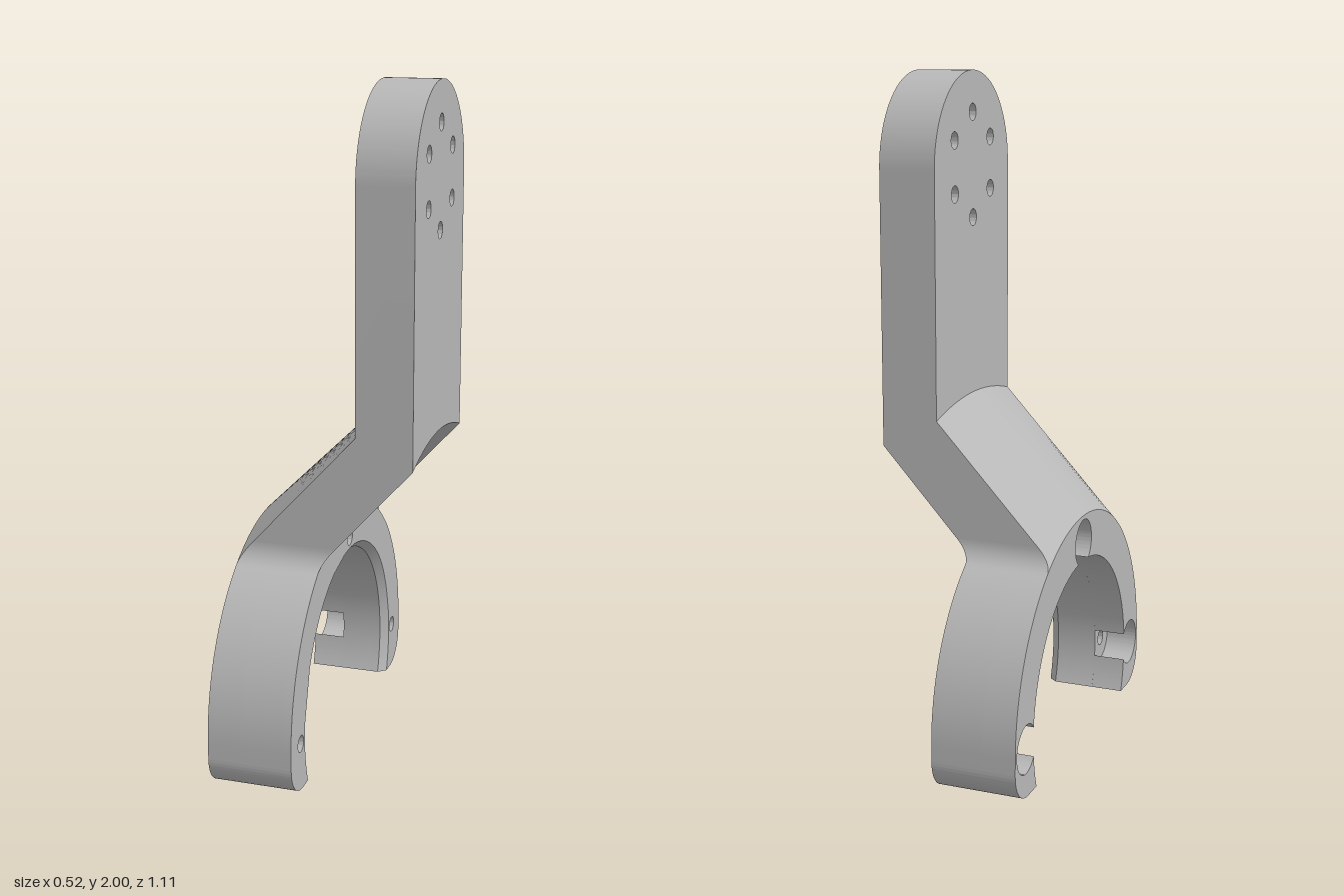
import * as THREE from 'three';
import { toCreasedNormals } from 'three/addons/utils/BufferGeometryUtils.js';

const CY = 0.145, R_OUT = 0.555, R_IN = 0.415, R_LIP = 0.435; // clamp ring
const R_BOLT = 0.47, R_HOLE = 0.025, R_BORE = 0.072;          // ring bolts
const X0 = -0.265, X1 = -0.012, P0 = 0.09, P1 = 0.26;         // ring and plate faces
const W = 0.275, FIL = 0.08, SEAM = 1.1;
const BOLTS = [Math.PI, Math.PI / 2, 0];

const ringY = z => CY + Math.sqrt(R_OUT * R_OUT - z * z);
const upperY = z => 1.05 - 0.037 * (z / W) ** 2;
const lowerY = z => 0.975 - 0.047 * (z / W) ** 2;

function hole(shape, x, y) {
  const p = new THREE.Path();
  p.absarc(x, y, R_HOLE, 0, Math.PI * 2, true);
  shape.holes.push(p);
}

// Extrude a side outline (z, y) along x
function slab(shape, from, to) {
  const g = new THREE.ExtrudeGeometry(shape, { depth: to - from, bevelEnabled: false, curveSegments: 48 });
  g.rotateY(Math.PI / 2);
  g.translate(from, 0, 0);
  return g;
}

// Horseshoe outline, either with through holes or with pockets open to the bore
function ringShape(pockets) {
  const s = new THREE.Shape();
  const a = Math.asin(CY / R_IN), b = R_IN * Math.cos(a), c = 0.1;
  s.moveTo(b, 0);
  s.lineTo(R_OUT - c, 0);
  s.absarc(R_OUT - c, c, c, -Math.PI / 2, 0, false);
  s.absarc(0, CY, R_OUT, 0, Math.PI, false);
  s.absarc(c - R_OUT, c, c, Math.PI, Math.PI * 1.5, false);
  s.lineTo(-b, 0);
  if (!pockets) {
    s.absarc(0, CY, R_IN, Math.PI + a, -a, true);
    for (const t of BOLTS) hole(s, R_BOLT * Math.cos(t), CY + R_BOLT * Math.sin(t));
    return s;
  }
  const beta = Math.acos((R_IN ** 2 + R_BOLT ** 2 - R_BORE ** 2) / (2 * R_IN * R_BOLT));
  const gamma = Math.atan2(R_IN * Math.sin(beta), R_IN * Math.cos(beta) - R_BOLT);
  let at = Math.PI + a;
  for (const t of BOLTS) {
    s.absarc(0, CY, R_IN, at, t + beta, true);
    s.absarc(R_BOLT * Math.cos(t), CY + R_BOLT * Math.sin(t), R_BORE, t + gamma, t - gamma, true);
    at = t - beta;
  }
  s.absarc(0, CY, R_IN, at, -a, true);
  return s;
}

// Skin a row of closed (x, y) sections placed along z; caps are index quads
function loft(zs, section, caps = []) {
  const pos = [];
  const rows = zs.map(z => section(z).map(([x, y]) => [x, y, z]));
  const quad = (a, b, c, d) => pos.push(...a, ...b, ...c, ...a, ...c, ...d);
  for (let i = 0; i < rows.length - 1; i++) {
    const p = rows[i], q = rows[i + 1], n = p.length;
    for (let k = 0; k < n; k++) quad(p[k], q[k], q[(k + 1) % n], p[(k + 1) % n]);
  }
  const first = rows[0], last = rows[rows.length - 1];
  for (const [a, b, c, d] of caps) {
    quad(first[a], first[b], first[c], first[d]);
    quad(last[d], last[c], last[b], last[a]);
  }
  const g = new THREE.BufferGeometry();
  g.setAttribute('position', new THREE.Float32BufferAttribute(pos, 3));
  g.computeVertexNormals();
  return g;
}

const span = (a, b, n) => Array.from({ length: n + 1 }, (_, i) => a + (b - a) * i / n);

export function createModel() {
  const model = new THREE.Group();
  const metal = new THREE.MeshStandardMaterial({ color: 0xb8b8b8 });
  metal.name = 'grey metal';
  const add = (name, g) => {
    const m = new THREE.Mesh(toCreasedNormals(g, 0.45), metal);
    m.name = name;
    model.add(m);
  };

  // Clamp ring: pocketed layer, drilled layer, chamfered lip
  const floorX = X0 + 0.1, lipX = X1 - 0.025;
  add('ringPocketLayer', slab(ringShape(true), X0, floorX));
  add('ringBody', slab(ringShape(false), floorX, lipX));
  const lip = slab(ringShape(false), lipX, X1);
  const p = lip.attributes.position;
  for (let i = 0; i < p.count; i++) {
    const y = p.getY(i) - CY, z = p.getZ(i), r = Math.hypot(y, z);
    if (p.getX(i) < X1 - 0.001 || r > R_IN + 0.002) continue;
    if (p.getY(i) < 0.001) p.setZ(i, Math.sign(z) * Math.sqrt(R_LIP ** 2 - y * y));
    else p.setXYZ(i, X1, CY + y * R_LIP / r, z * R_LIP / r);
  }
  lip.computeVertexNormals();
  add('ringChamferedLip', lip);

  // Sloping arm with curved upper and lower faces, up to the plate
  add('slopingArm', loft(span(-W, W, 32), z => [
    [X0, ringY(z)], [P0, upperY(z)], [P0, SEAM], [P1, SEAM], [P1, lowerY(z)], [X1, ringY(z)],
  ], [[0, 1, 4, 5], [1, 2, 3, 4]]));

  // Concave fillets between arm sides and ring
  const fz = W + FIL, fy = CY + Math.sqrt((R_OUT + FIL) ** 2 - fz * fz);
  const zEnd = fz * R_OUT / (R_OUT + FIL);
  const kUp = (P0 - X0) / (upperY(W) - ringY(W)), kLow = (P1 - X1) / (lowerY(W) - ringY(W));
  const filletSection = z => {
    const d = Math.abs(z), base = ringY(d);
    const top = fy - Math.sqrt(Math.max(0, FIL ** 2 - (d - fz) ** 2));
    const h = Math.max(0, top - base);
    return [[X0, base], [X0 + h * kUp, base + h], [X1 + h * kLow, base + h], [X1, base]];
  };
  const zs = span(0, 1, 10).map(t => W + (zEnd - W) * t * t);
  add('leftFillet', loft(zs, filletSection));
  add('rightFillet', loft(zs.map(z => -z).reverse(), filletSection));

  // Upright plate with round top and six bolt holes
  const plate = new THREE.Shape();
  const top = 2 - W;
  plate.moveTo(-W, SEAM);
  plate.lineTo(W, SEAM);
  plate.absarc(0, top, W, 0, Math.PI, false);
  plate.closePath();
  for (let i = 0; i < 6; i++) {
    const t = Math.PI / 2 + i * Math.PI / 3;
    hole(plate, 0.153 * Math.cos(t), top + 0.002 + 0.153 * Math.sin(t));
  }
  add('uprightPlate', slab(plate, P0, P1));

  return model;
}
